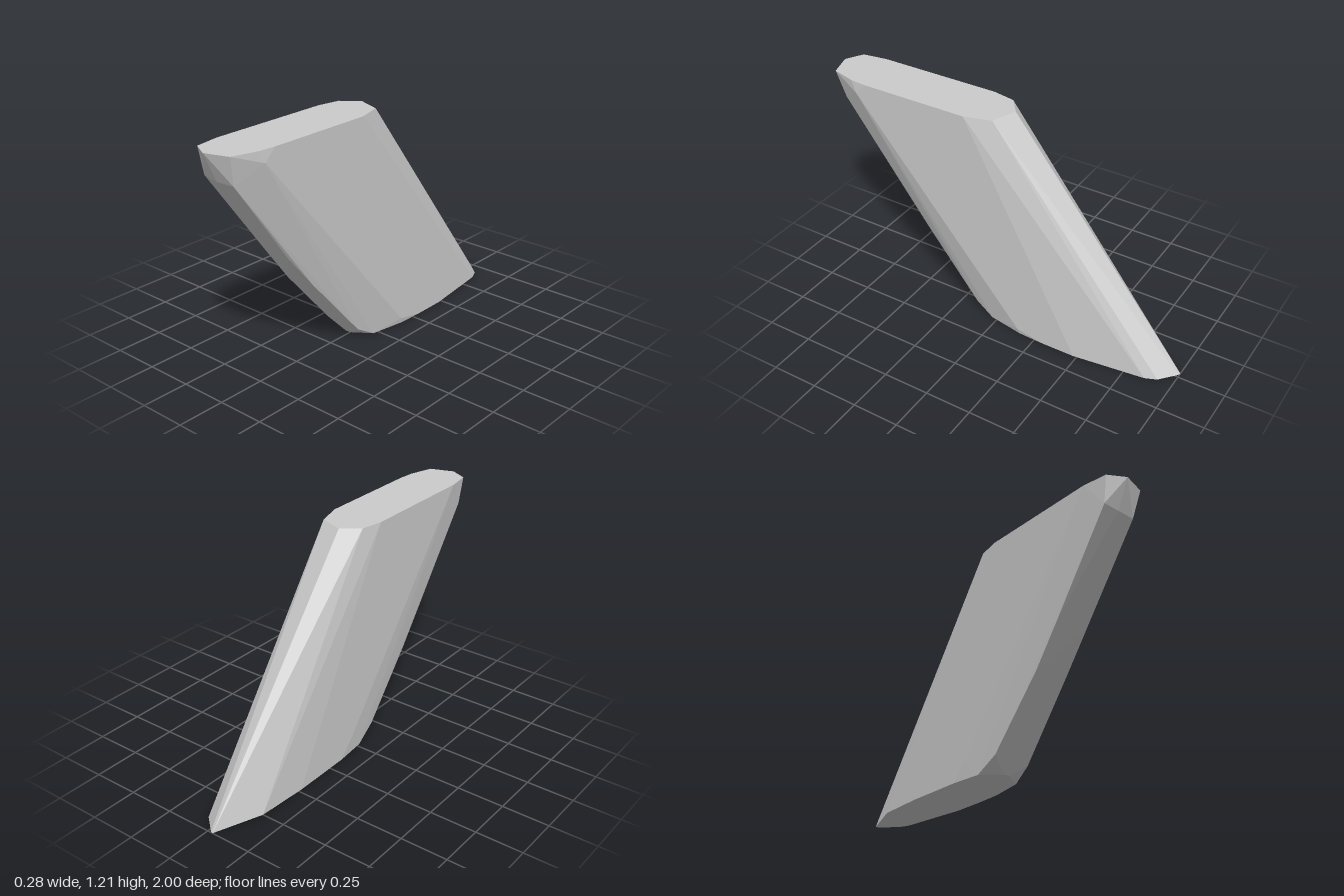
import * as THREE from 'three';
import { ConvexGeometry } from 'three/addons/geometries/ConvexGeometry.js';

// Outline of the flat top, as x, z
const topOutline = [
  [-0.03, 1.0], [0.095, 0.96], [0.132, 0.83], [0.14, 0.74], [0.14, 0.16], [0.1, 0.02],
  [-0.03, -0.03], [-0.12, 0.04], [-0.142, 0.16], [-0.142, 0.82], [-0.122, 0.95],
];

// Outline of the flat underside, as x, z
const bottomOutline = [
  [-0.03, 0.1], [0, 0.1], [0.1, 0.03], [0.134, -0.16], [0.14, -0.3], [0.14, -0.48],
  [0.095, -0.86], [0.07, -0.92], [-0.015, -0.995], [-0.03, -1.0],
  [-0.125, -0.75], [-0.142, -0.48], [-0.142, -0.15], [-0.128, 0.02],
];

// Chipped corners along the slanted front edge and the broad sides, as x, y, z
const chips = [
  [0.07, 1.06, 0.925], [-0.03, 1.06, 0.93], [-0.115, 1.07, 0.925],
  [0.055, 0.6, 0.59], [-0.113, 0.6, 0.58], [0.068, 0.42, 0.445], [-0.113, 0.4, 0.43],
  [0.085, 0.06, 0.135], [-0.12, 0.07, 0.14],
  [0.14, 1.15, 0.8], [0.14, 0.03, -0.15], [-0.142, 0.1, -0.06],
];

export function createModel() {
  const group = new THREE.Group();
  group.name = 'slantedBlock';

  // The leaning slab is the convex skin around both outlines and the chips
  const points = [
    ...topOutline.map(([x, z]) => new THREE.Vector3(x, 1.21, z)),
    ...bottomOutline.map(([x, z]) => new THREE.Vector3(x, 0, z)),
    ...chips.map((p) => new THREE.Vector3(...p)),
  ];
  const slab = new THREE.Mesh(
    new ConvexGeometry(points),
    new THREE.MeshStandardMaterial({ color: 0xcccccc, flatShading: true }),
  );
  slab.name = 'slab';
  group.add(slab);
  return group;
}
